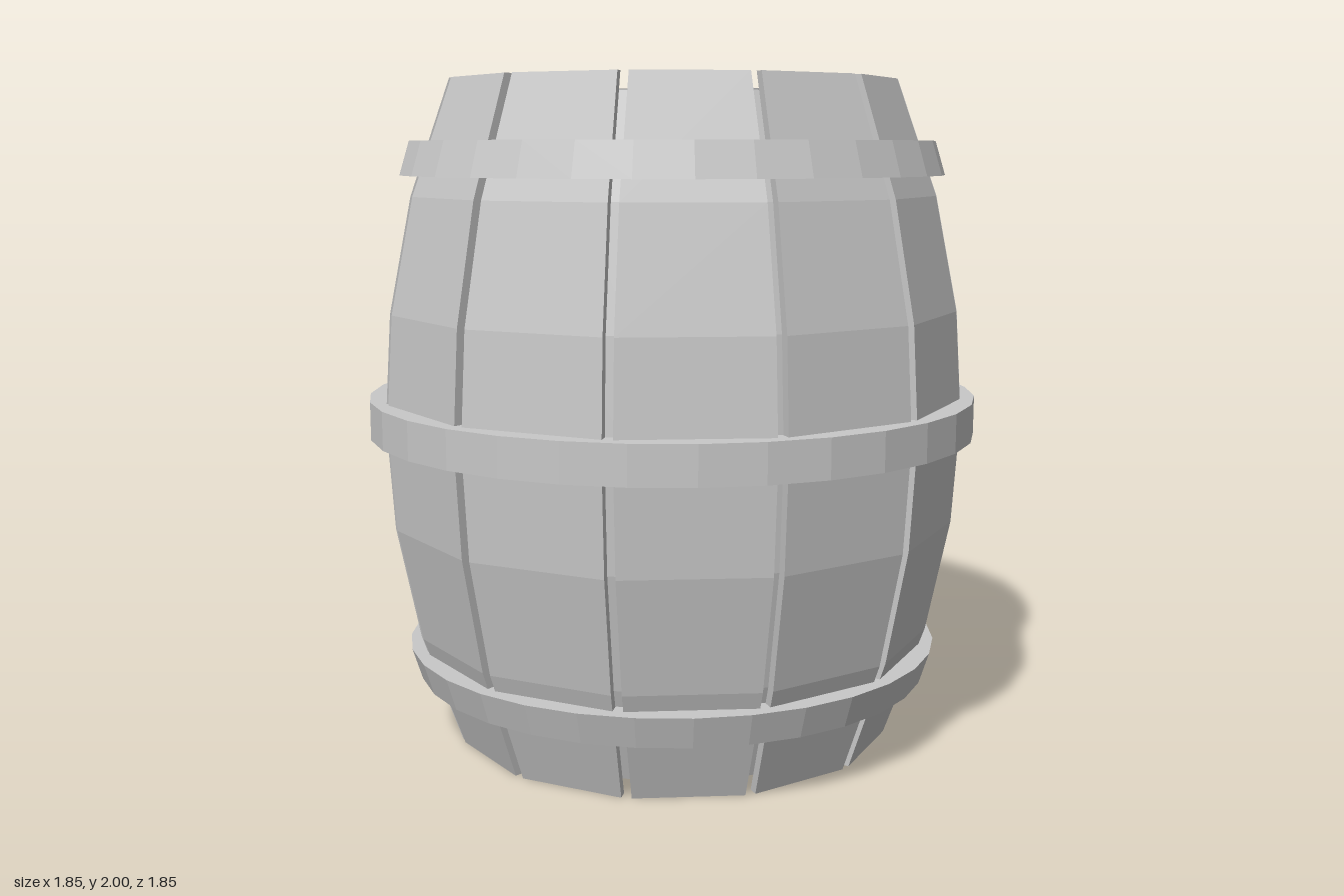
import * as THREE from 'three';

const STAVES = 12;
const GAP = 0.015; // half the groove between staves
const DEPTH = 0.035; // groove depth
const LEVELS = [0, 0.34, 0.68, 1, 1.32, 1.66, 2];

// bulging profile: a circular arc, narrow at the ends
const ARC = 2.486;
const radiusAt = (y) => 0.885 - (ARC - Math.sqrt(ARC * ARC - (y - 1) ** 2));

function faceted(geometry) {
  const g = geometry.index ? geometry.toNonIndexed() : geometry;
  g.computeVertexNormals();
  return g;
}

// one bent plank: flat outside, rounded inside, lofted up the levels
function staveGeometry() {
  const half = Math.PI / STAVES;
  const positions = [];
  const index = [];
  for (const y of LEVELS) {
    const outer = radiusAt(y);
    const inner = outer - DEPTH;
    const ao = half - GAP / outer;
    const ai = half - GAP / inner;
    for (const [r, a] of [[outer, -ao], [outer, ao], [inner, ai], [inner, 0], [inner, -ai]]) {
      positions.push(r * Math.sin(a), y, r * Math.cos(a));
    }
  }
  const n = 5;
  for (let i = 0; i < LEVELS.length - 1; i++) {
    for (let j = 0; j < n; j++) {
      const a = i * n + j;
      const b = i * n + ((j + 1) % n);
      index.push(a, b, b + n, a, b + n, a + n);
    }
  }
  // end caps
  const t = (LEVELS.length - 1) * n;
  for (const [a, b, c] of [[3, 4, 0], [3, 0, 1], [3, 1, 2]]) {
    index.push(t + a, t + b, t + c, a, c, b);
  }
  const g = new THREE.BufferGeometry();
  g.setAttribute('position', new THREE.Float32BufferAttribute(positions, 3));
  g.setIndex(index);
  return faceted(g);
}

const lathe = (points) =>
  faceted(new THREE.LatheGeometry(points.map(([r, y]) => new THREE.Vector2(r, y)), 32));

export function createModel() {
  const model = new THREE.Group();
  model.name = 'barrel';
  const grey = new THREE.MeshStandardMaterial({ color: 0xc8c8c8 });
  grey.name = 'light grey';

  const add = (name, geometry) => {
    const mesh = new THREE.Mesh(geometry, grey);
    mesh.name = name;
    model.add(mesh);
    return mesh;
  };

  // staves, with a groove on each axis
  const stave = staveGeometry();
  for (let i = 0; i < STAVES; i++) {
    add('stave', stave).rotation.y = ((i + 0.5) / STAVES) * Math.PI * 2;
  }

  // closed inner core: recessed lids and the floor of the grooves
  const coreLevels = [0.05, ...LEVELS.slice(1, -1), 1.95];
  const wall = coreLevels.map((y) => [radiusAt(y) - DEPTH - 0.001, y]);
  add('lidsAndCore', lathe([[0, 0.05], ...wall, [0, 1.95]]));

  // hoops: inner radius, bottom radius and height, top radius and height
  const hoops = [
    ['bottomHoop', 0.7, 0.79, 0.195, 0.82, 0.29],
    ['middleHoop', 0.84, 0.925, 0.943, 0.925, 1.057],
    ['topHoop', 0.7, 0.82, 1.72, 0.79, 1.82],
  ];
  for (const [name, inner, r0, y0, r1, y1] of hoops) {
    add(name, lathe([[inner, y0], [r0, y0], [r1, y1], [inner, y1]]));
  }
  return model;
}
